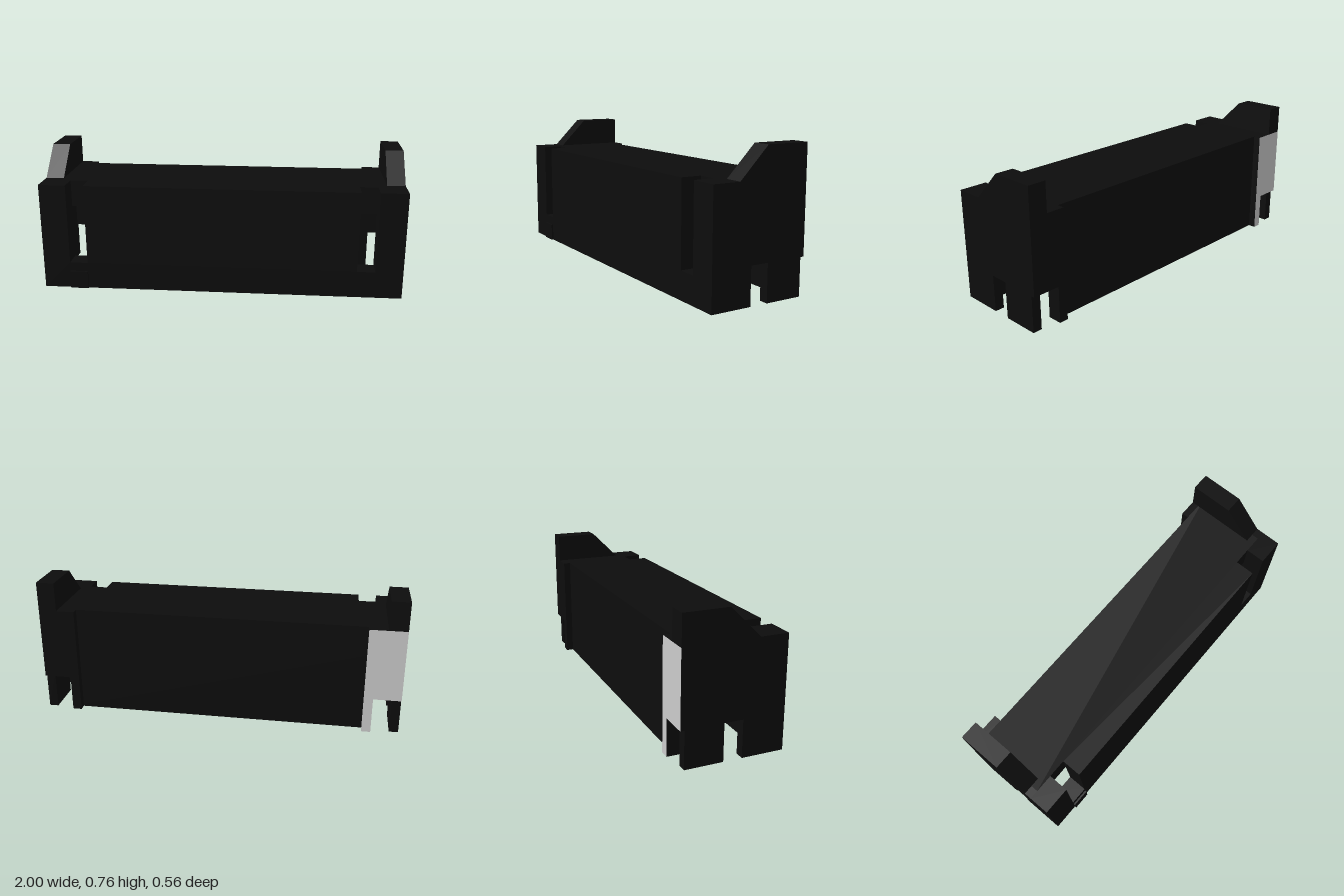
import * as THREE from 'three';

const black = new THREE.MeshStandardMaterial({ color: 0x0d0d0d });
const grey = new THREE.MeshStandardMaterial({ color: 0xcccccc });

const outline = (pts) => new THREE.Shape(pts.map(([a, b]) => new THREE.Vector2(a, b)));

export function createModel() {
  const group = new THREE.Group();

  const add = (name, geometry, material = black) => {
    const mesh = new THREE.Mesh(geometry, material);
    mesh.name = name;
    group.add(mesh);
    return mesh;
  };

  // Box given by its limits on each axis
  const box = (name, [x0, x1], [y0, y1], [z0, z1]) =>
    add(name, new THREE.BoxGeometry(x1 - x0, y1 - y0, z1 - z0)
      .translate((x0 + x1) / 2, (y0 + y1) / 2, (z0 + z1) / 2));

  // Outline in x, y pushed from z0 to z1
  const slab = (name, pts, z0, z1) =>
    add(name, new THREE.ExtrudeGeometry(outline(pts), { depth: z1 - z0, bevelEnabled: false })
      .translate(0, 0, z0));

  // Outline in z, y pushed from x0 to x1
  const sideSlab = (name, pts, x0, x1) =>
    add(name, new THREE.ExtrudeGeometry(outline(pts), { depth: x1 - x0, bevelEnabled: false })
      .rotateY(-Math.PI / 2).translate(x1, 0, 0));

  // Front wall with two grooves open at the top
  slab('frontWall', [
    [-1, 0], [1, 0], [1, 0.6],
    [0.85, 0.6], [0.85, 0.15], [0.75, 0.15], [0.75, 0.6],
    [-0.75, 0.6], [-0.75, 0.15], [-0.85, 0.15], [-0.85, 0.6],
    [-1, 0.6],
  ], 0.16, 0.27);

  // Hollow housing, open below
  box('roof', [-0.95, 0.95], [0.45, 0.6], [-0.24, 0.16]);
  box('backWall', [-0.85, 0.85], [0, 0.45], [-0.24, -0.2]);

  // Small key on the front foot, one side only
  box('key', [-0.85, -0.75], [0, 0.1], [0.27, 0.28]);

  const endProfile = [
    [0.16, 0], [0.16, 0.6], [-0.24, 0.6], [-0.24, 0.2], [-0.26, 0.2], [-0.26, 0],
    [-0.055, 0], [-0.055, 0.2], [0.045, 0.2], [0.045, 0],
  ];
  const hornProfile = [[0.12, 0.6], [-0.04, 0.76], [-0.28, 0.76], [-0.28, 0.6]];
  const cornerProfile = [[0.8, 0], [0.85, 0], [0.85, 0.2], [1, 0.2], [1, 0.6], [0.8, 0.6]];

  for (const [side, s] of [['left', 1], ['right', -1]]) {
    const span = (a, b) => (s > 0 ? [a, b] : [-b, -a]);

    // End wall with a notch, and the sloped horn above it
    sideSlab(side + 'EndWall', endProfile, ...span(0.95, 1));
    sideSlab(side + 'Horn', hornProfile, ...span(0.9, 1));

    // Raised corner panel on the back, cut away at its lower outer corner
    slab(side + 'BackCorner', cornerProfile.map(([x, y]) => [s * x, y]), -0.28, -0.24);
  }

  // Pale face on the right back corner
  add('paleBackFace', new THREE.ShapeGeometry(outline(cornerProfile))
    .rotateY(Math.PI).translate(0, 0, -0.281), grey);

  return group;
}
